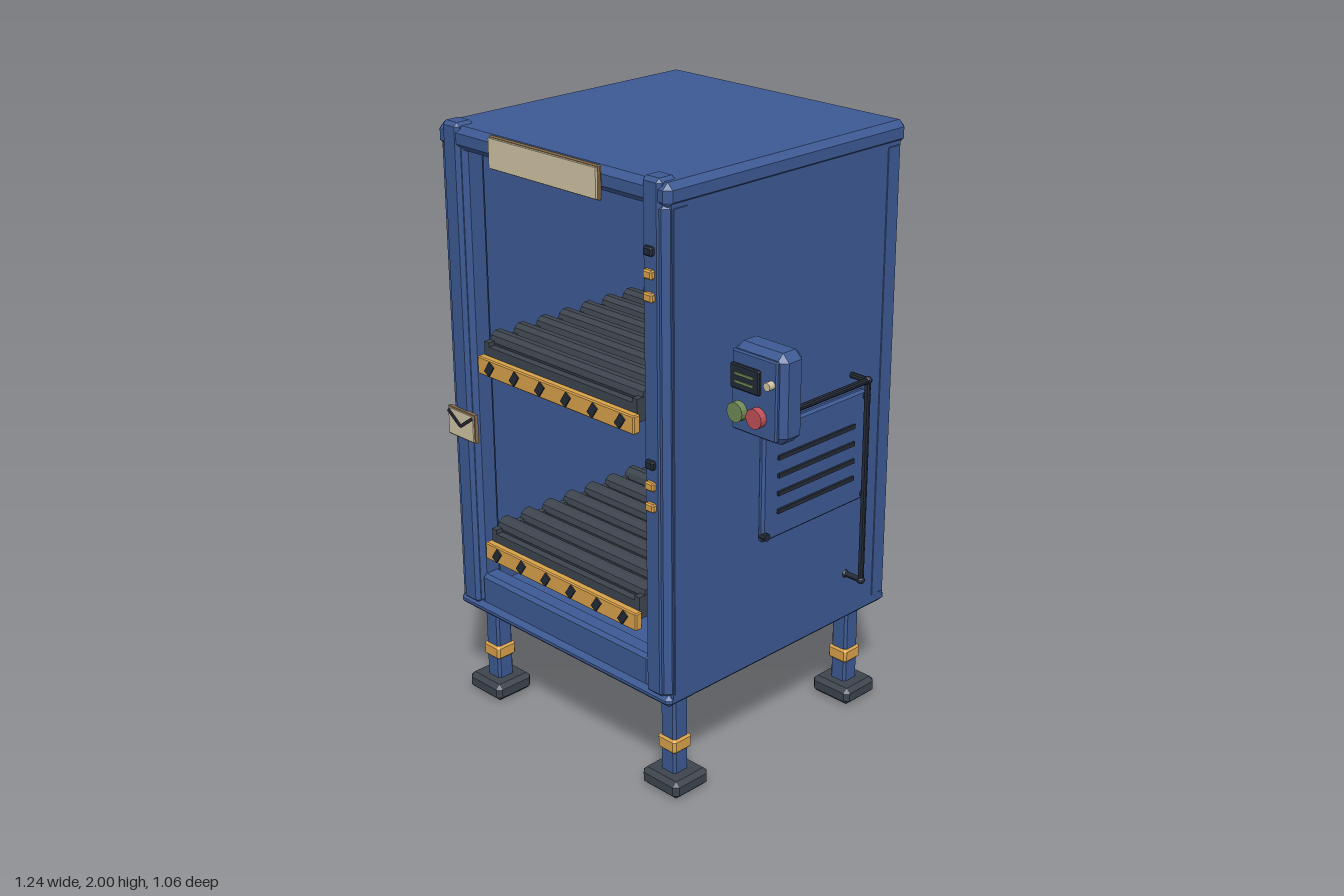
import * as THREE from 'three';
import { ConvexGeometry } from 'three/addons/geometries/ConvexGeometry.js';

const mat = (color) => new THREE.MeshStandardMaterial({ color, flatShading: true });
const BLUE = mat(0x3d5a94), YELLOW = mat(0xd9a24a), DARK = mat(0x3d444d), BLACK = mat(0x232a36);
const CREAM = mat(0xcfc3a3), BROWN = mat(0x8a7150), GREEN = mat(0x6f8a58), RED = mat(0xc05058);
const CX = -0.092; // centre line of the cabinet

// Box with 45 degree chamfers on every edge
function chamferBox(w, h, d, c) {
  const pts = [];
  for (const x of [-1, 1]) for (const y of [-1, 1]) for (const z of [-1, 1])
    for (let k = 0; k < 3; k++)
      pts.push(new THREE.Vector3(
        x * (w / 2 - (k === 0 ? 0 : c)), y * (h / 2 - (k === 1 ? 0 : c)), z * (d / 2 - (k === 2 ? 0 : c))));
  return new ConvexGeometry(pts);
}

export function createModel() {
  const model = new THREE.Group();
  model.name = 'rollerCabinet';

  const add = (name, geometry, material, x = 0, y = 0, z = 0, parent = model) => {
    const m = new THREE.Mesh(geometry, material);
    m.name = name;
    m.position.set(x, y, z);
    parent.add(m);
    return m;
  };
  // Box given by its limits; c is the chamfer
  const box = (name, material, x0, x1, y0, y1, z0, z1, c = 0, parent = model) => {
    const w = x1 - x0, h = y1 - y0, d = z1 - z0;
    return add(name, c ? chamferBox(w, h, d, c) : new THREE.BoxGeometry(w, h, d), material,
      (x0 + x1) / 2, (y0 + y1) / 2, (z0 + z1) / 2, parent);
  };
  // Round rod between two points
  const rod = (name, material, a, b, r, sides = 10, parent = model) => {
    const p = new THREE.Vector3(...a), q = new THREE.Vector3(...b);
    const m = add(name, new THREE.CylinderGeometry(r, r, p.distanceTo(q), sides), material, 0, 0, 0, parent);
    m.position.lerpVectors(p, q, 0.5);
    m.quaternion.setFromUnitVectors(new THREE.Vector3(0, 1, 0), q.sub(p).normalize());
    return m;
  };

  // Cabinet shell, open at front and back
  box('topPlate', BLUE, -0.597, 0.413, 1.915, 1.99, -0.53, 0.505, 0.02);
  box('basePlate', BLUE, -0.592, 0.408, 0.34, 0.38, -0.52, 0.505, 0.015);
  for (const z of [[0.42, 0.49], [-0.505, -0.435]])
    box('lowerBeam', BLUE, -0.49, 0.305, 0.36, 0.48, z[0], z[1], 0.012);

  for (const s of [-1, 1]) {
    const X = (a, b) => [Math.min(CX + s * a, CX + s * b), Math.max(CX + s * a, CX + s * b)];
    const side = s > 0 ? 'left' : 'right';
    box(side + 'Wall', BLUE, ...X(0.465, 0.5), 0.36, 1.93, -0.5, 0.485);
    box(side + 'FrontPost', BLUE, ...X(0.385, 0.502), 0.36, 1.94, 0.4, 0.503, 0.025);
    box(side + 'BackPost', BLUE, ...X(0.36, 0.502), 0.36, 1.94, -0.52, -0.42, 0.025);
    box(side + 'FrontStrut', BLUE, ...X(0.4, 0.475), 0.37, 2.0, 0.435, 0.508, 0.012);

    // Vent panel with slats and corner bolts
    const vent = new THREE.Group();
    vent.name = side + 'Vent';
    model.add(vent);
    box('ventPlate', BLUE, ...X(0.495, 0.52), 0.775, 1.155, -0.358, 0.117, 0.008, vent);
    for (let i = 0; i < 4; i++)
      box('ventSlat', BLACK, ...X(0.515, 0.528), 0.859 + i * 0.06, 0.873 + i * 0.06, -0.3, 0.055, 0, vent);
    for (const y of [0.797, 1.135]) for (const z of [-0.352, 0.108])
      rod('ventBolt', BLACK, [CX + s * 0.505, y, z], [CX + s * 0.532, y, z], 0.013, 8, vent);

    // Legs with collar and foot
    for (const z of [-0.405, 0.405]) {
      const x = CX + s * 0.423, leg = new THREE.Group();
      leg.name = side + (z > 0 ? 'FrontLeg' : 'BackLeg');
      model.add(leg);
      add('legTube', chamferBox(0.064, 0.32, 0.064, 0.008), BLUE, x, 0.2, z, leg);
      add('legCollar', chamferBox(0.078, 0.05, 0.078, 0.008), YELLOW, x, 0.16, z, leg);
      add('foot', chamferBox(0.16, 0.06, 0.15, 0.015), DARK, x + s * 0.002, 0.032, z, leg);
    }
  }

  // Roller decks with hazard strip
  for (const y of [0.655, 1.305]) {
    const deck = new THREE.Group();
    deck.name = 'rollerDeck';
    model.add(deck);
    for (let i = 0; i < 10; i++) {
      const z = -0.43 + i * 0.095;
      rod('roller', DARK, [-0.435, y, z], [0.255, y, z], 0.033, 10, deck);
    }
    for (const x of [-0.437, 0.235])
      box('deckRail', DARK, x, x + 0.022, y - 0.07, y + 0.005, -0.48, 0.48, 0, deck);
    box('deckCrossbar', DARK, -0.42, 0.24, y - 0.045, y - 0.01, 0.455, 0.48, 0, deck);
    box('hazardStrip', YELLOW, -0.447, 0.265, y - 0.1, y - 0.04, 0.475, 0.503, 0.004, deck);
    for (let i = 0; i < 6; i++) {
      const mark = add('hazardMark', new THREE.BoxGeometry(0.026, 0.042, 0.01), BLACK,
        -0.387 + i * 0.119, y - 0.07, 0.503, deck);
      mark.rotation.z = -0.6;
    }
  }

  // Rear stop bar on two uprights
  box('stopBar', YELLOW, -0.447, 0.265, 0.722, 0.808, -0.532, -0.49, 0.005);
  for (const x of [-0.411, 0.229])
    box('stopUpright', DARK, x - 0.011, x + 0.011, 0.65, 0.945, -0.535, -0.513);

  // Blank header sign and notice plate with chevron
  box('signFrame', BROWN, -0.33, 0.15, 1.893, 1.997, 0.504, 0.517, 0.004);
  box('signFace', CREAM, -0.324, 0.144, 1.899, 1.991, 0.51, 0.525);
  box('noticeFrame', BROWN, -0.587, -0.455, 0.964, 1.062, 0.504, 0.517);
  box('noticeFace', CREAM, -0.582, -0.46, 0.969, 1.057, 0.51, 0.522);
  for (const s of [-1, 1]) {
    const stroke = add('noticeChevron', new THREE.BoxGeometry(0.072, 0.01, 0.008), BLACK, -0.521 + s * 0.03, 1.03, 0.523);
    stroke.rotation.z = s * 0.62;
  }

  // Indicator lights on the front strut
  for (const top of [1.79, 1.14])
    for (let i = 0; i < 3; i++)
      add('indicator', chamferBox(0.036, 0.028, 0.025, 0.005), i ? YELLOW : BLACK, 0.345, top - i * 0.068, 0.51);

  // Control box
  const control = new THREE.Group();
  control.name = 'controlBox';
  model.add(control);
  box('controlBody', BLUE, 0.415, 0.62, 1.19, 1.475, 0.147, 0.25, 0.025, control);
  box('controlFace', BLUE, 0.428, 0.607, 1.207, 1.458, 0.245, 0.262, 0.005, control);
  box('controlBracket', BLACK, 0.405, 0.51, 1.25, 1.42, 0.139, 0.16, 0, control);
  box('screen', BLACK, 0.43, 0.545, 1.34, 1.418, 0.255, 0.272, 0.004, control);
  for (const y of [1.365, 1.39])
    box('screenLine', GREEN, 0.45, 0.525, y - 0.004, y + 0.004, 0.27, 0.275, 0, control);
  for (const [name, m, x, y, r] of [['greenButton', GREEN, 0.462, 1.272, 0.031],
    ['redButton', RED, 0.538, 1.272, 0.031], ['knob', CREAM, 0.588, 1.386, 0.013]])
    rod(name, m, [x, y, 0.255], [x, y, 0.285], r, 16, control);

  // Conduit from the control box down to the wall
  const path = [[0.475, 1.212, 0.16], [0.475, 1.212, -0.305], [0.475, 0.515, -0.305], [0.405, 0.515, -0.305]];
  for (let i = 0; i < 3; i++) {
    rod('conduit', BLACK, path[i], path[i + 1], 0.01);
    add('conduitJoint', new THREE.SphereGeometry(0.014, 10, 8), BLACK, ...path[i + 1]);
  }
  rod('conduitBracket', BLACK, [0.405, 1.212, -0.305], path[1], 0.01);

  return model;
}
